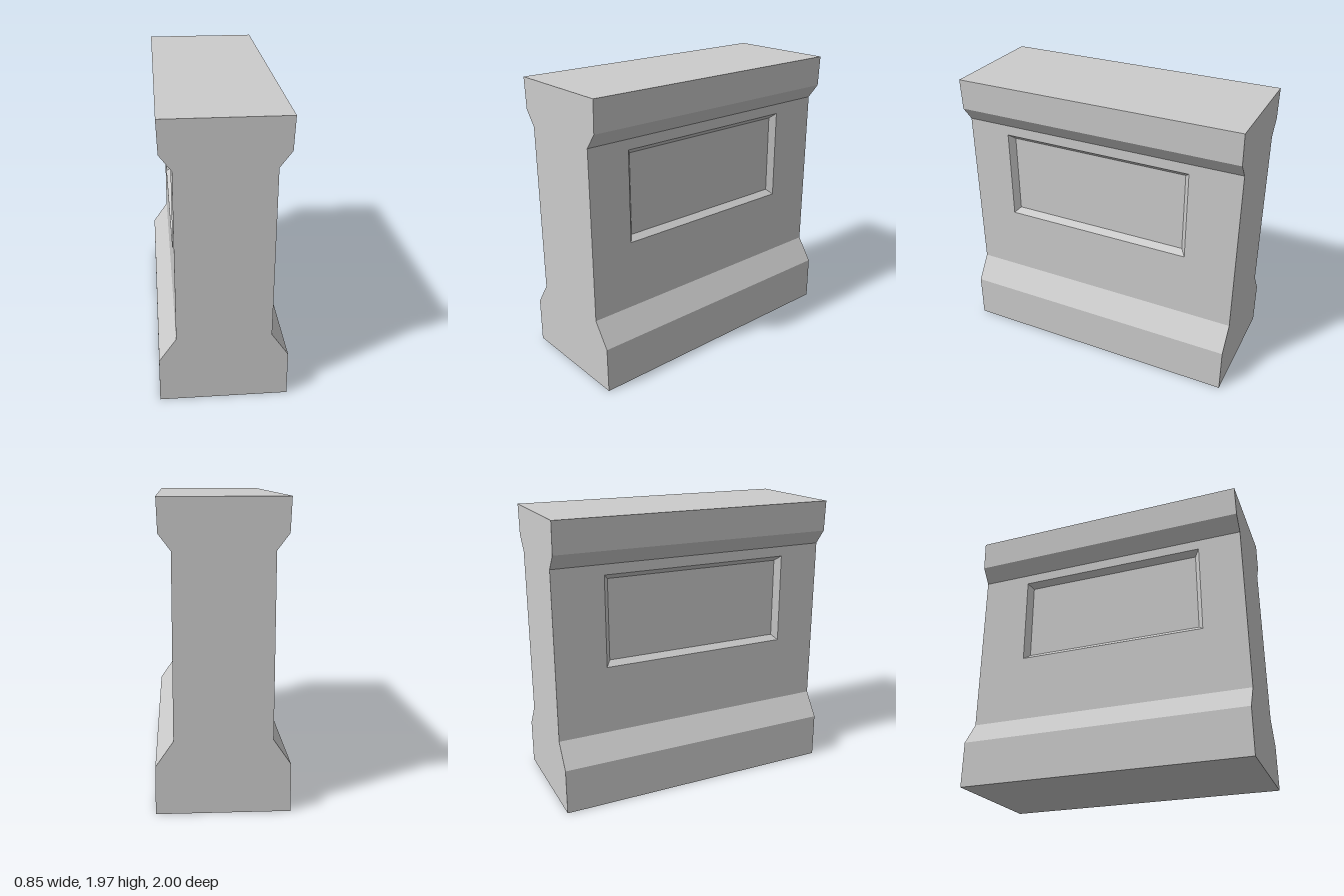
import * as THREE from 'three';

const HALF_LENGTH = 1;
const SHAFT = { half: 0.31, bottom: 0.48, top: 1.65 };

// Extrudes a mirrored profile, given as [halfWidth, y] from bottom to top, along z
function moulding(name, profile, material) {
  const right = profile.map(([x, y]) => new THREE.Vector2(x, y));
  const left = profile.map(([x, y]) => new THREE.Vector2(-x, y)).reverse();
  const geometry = new THREE.ExtrudeGeometry(new THREE.Shape([...right, ...left]), {
    depth: HALF_LENGTH * 2,
    bevelEnabled: false,
  });
  geometry.translate(0, 0, -HALF_LENGTH);
  const mesh = new THREE.Mesh(geometry, material);
  mesh.name = name;
  return mesh;
}

// Shaft: two flat ends, and two long sides with a bevelled sunken panel
function shaftGeometry() {
  const { half, bottom, top } = SHAFT;
  const positions = [];
  const quad = (a, b, c, d, flip) => {
    const order = flip ? [a, c, b, a, d, c] : [a, b, c, a, c, d];
    order.forEach((p) => positions.push(...p));
  };

  // Nested rectangles: wall edge, panel rim, panel floor
  const loops = [
    { front: HALF_LENGTH, back: -HALF_LENGTH, low: bottom, high: top, x: half },
    { front: 0.7, back: -0.645, low: 0.95, high: 1.58, x: half },
    { front: 0.665, back: -0.61, low: 0.985, high: 1.545, x: half - 0.04 },
  ];

  for (const side of [1, -1]) {
    const flip = side < 0;
    const rings = loops.map(({ front, back, low, high, x }) => [
      [side * x, low, front],
      [side * x, low, back],
      [side * x, high, back],
      [side * x, high, front],
    ]);
    for (let r = 0; r < rings.length - 1; r++) {
      for (let i = 0; i < 4; i++) {
        const j = (i + 1) % 4;
        quad(rings[r][i], rings[r][j], rings[r + 1][j], rings[r + 1][i], flip);
      }
    }
    quad(...rings[rings.length - 1], flip);

    // End face
    const z = side * HALF_LENGTH;
    quad([-half, bottom, z], [half, bottom, z], [half, top, z], [-half, top, z], flip);
  }

  const geometry = new THREE.BufferGeometry();
  geometry.setAttribute('position', new THREE.Float32BufferAttribute(positions, 3));
  geometry.computeVertexNormals();
  return geometry;
}

export function createModel() {
  const stone = new THREE.MeshStandardMaterial({ color: 0xcccccc });
  stone.name = 'grey stone';

  const model = new THREE.Group();
  model.name = 'wallSegment';

  // Base with sloped top
  model.add(moulding('plinth', [[0.425, 0], [0.423, 0.315], [SHAFT.half, SHAFT.bottom]], stone));

  // Panelled wall
  const shaft = new THREE.Mesh(shaftGeometry(), stone);
  shaft.name = 'panelledShaft';
  model.add(shaft);

  // Coping with sloped underside
  model.add(moulding('coping', [[SHAFT.half, SHAFT.top], [0.387, 1.752], [0.395, 1.965]], stone));

  return model;
}
